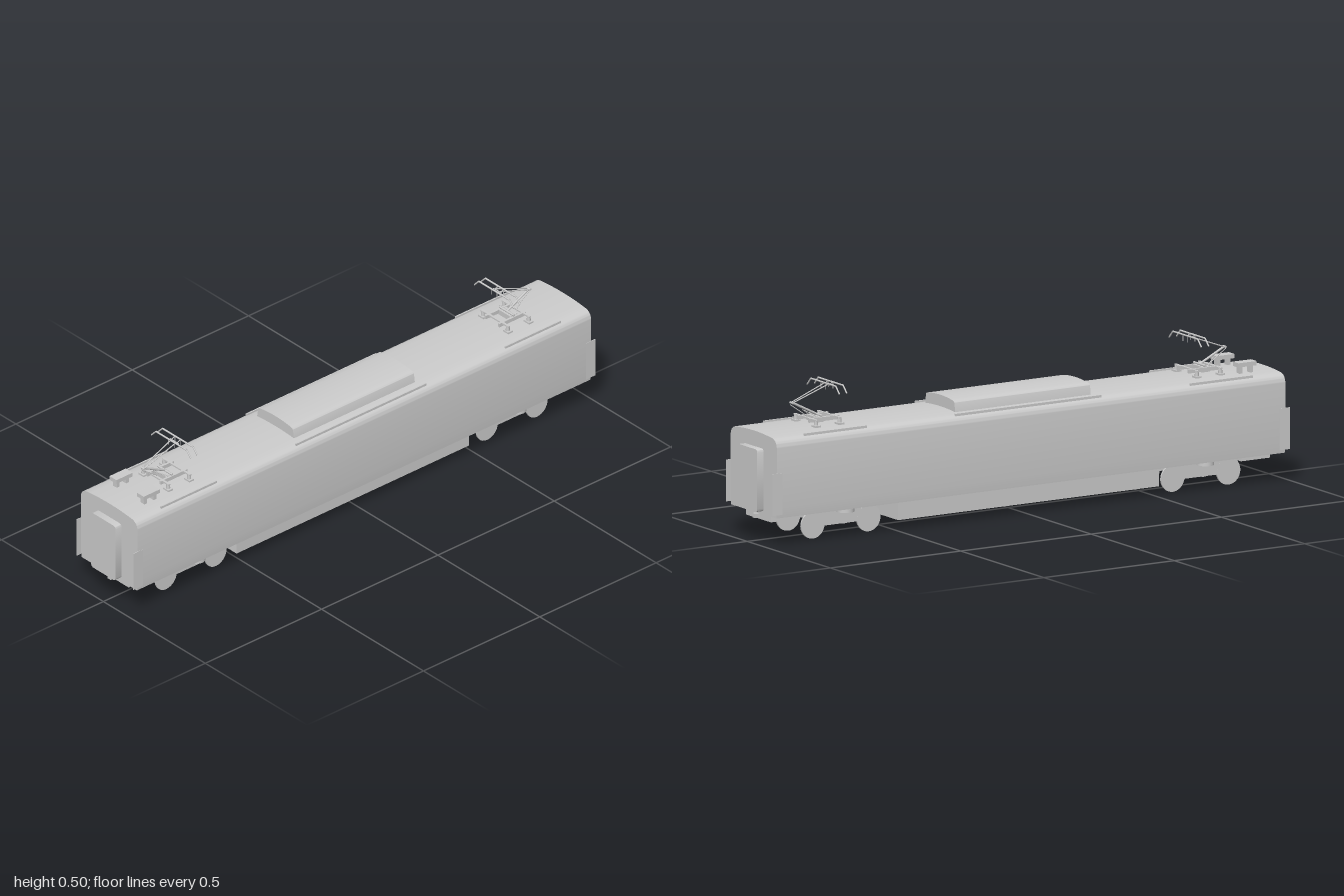
import * as THREE from 'three';
import { toCreasedNormals } from 'three/addons/utils/BufferGeometryUtils.js';

const material = new THREE.MeshStandardMaterial({ color: 0xcccccc, side: THREE.DoubleSide });

function add(parent, name, geometry, x = 0, y = 0, z = 0) {
  const mesh = new THREE.Mesh(geometry, material);
  mesh.name = name;
  mesh.position.set(x, y, z);
  parent.add(mesh);
  return mesh;
}

// Box given by its limits on each axis
function box(parent, name, x0, x1, y0, y1, z0, z1) {
  const g = new THREE.BoxGeometry(x1 - x0, y1 - y0, z1 - z0);
  return add(parent, name, g, (x0 + x1) / 2, (y0 + y1) / 2, (z0 + z1) / 2);
}

// Straight round bar between two points
function bar(parent, name, a, b, r = 0.002) {
  const p = new THREE.Vector3(...a), q = new THREE.Vector3(...b);
  const d = q.clone().sub(p);
  const m = add(parent, name, new THREE.CylinderGeometry(r, r, d.length(), 8));
  m.position.copy(p).add(q).multiplyScalar(0.5);
  m.quaternion.setFromUnitVectors(new THREE.Vector3(0, 1, 0), d.normalize());
  return m;
}

// Cross-section in x and y, pulled along z and centred
function extrude(shape, length) {
  const g = new THREE.ExtrudeGeometry(shape, { depth: length, bevelEnabled: false, curveSegments: 10 });
  g.translate(0, 0, -length / 2);
  return toCreasedNormals(g, 0.5);
}

function roundedRect(x0, x1, y0, y1, r) {
  const s = new THREE.Shape();
  s.absarc(x1 - r, y0 + r, r, -Math.PI / 2, 0);
  s.absarc(x1 - r, y1 - r, r, 0, Math.PI / 2);
  s.absarc(x0 + r, y1 - r, r, Math.PI / 2, Math.PI);
  s.absarc(x0 + r, y0 + r, r, Math.PI, Math.PI * 1.5);
  return s;
}

// Coach shell with gently arched roof
function createBody(root) {
  const s = new THREE.Shape();
  s.moveTo(-0.136, 0.096);
  s.lineTo(0.136, 0.096);
  s.lineTo(0.139, 0.13);
  s.lineTo(0.139, 0.328);
  s.quadraticCurveTo(0.137, 0.35, 0.116, 0.357);
  s.quadraticCurveTo(0, 0.371, -0.116, 0.357);
  s.quadraticCurveTo(-0.137, 0.35, -0.139, 0.328);
  s.lineTo(-0.139, 0.13);
  add(root, 'body', extrude(s, 1.95));

  // Arched roof housing
  const h = new THREE.Shape();
  h.moveTo(-0.091, 0.355);
  h.lineTo(0.091, 0.355);
  h.lineTo(0.086, 0.387);
  h.quadraticCurveTo(0.085, 0.394, 0.076, 0.396);
  h.quadraticCurveTo(0, 0.408, -0.076, 0.396);
  h.quadraticCurveTo(-0.085, 0.394, -0.086, 0.387);
  add(root, 'roofHousing', extrude(h, 0.52));

  for (const s of [-1, 1]) {
    // Gutter strips along the roof edges
    for (const [z, length] of [[0, 0.56], [0.74, 0.24], [-0.74, 0.24]]) {
      add(root, 'roofStrip', new THREE.BoxGeometry(0.005, 0.008, length), s * 0.121, 0.358, z);
    }
    // Equipment boxes on short legs, front end only
    const x = s * 0.067;
    add(root, 'roofEquipment', new THREE.BoxGeometry(0.034, 0.014, 0.07), x, 0.391, 0.865);
    for (const z of [0.845, 0.885]) {
      add(root, 'equipmentLeg', new THREE.BoxGeometry(0.018, 0.026, 0.012), x, 0.373, z);
    }
  }
}

// Gangway, corner plates and coupler at one end
function createEnd() {
  const end = new THREE.Group();
  end.name = 'end';
  add(end, 'gangway', extrude(roundedRect(-0.06, 0.06, 0.106, 0.313, 0.01), 0.026), 0, 0, 0.987);
  for (const s of [-1, 1]) {
    add(end, 'cornerPlate', new THREE.BoxGeometry(0.002, 0.138, 0.04), s * 0.139, 0.176, 0.973);
  }
  box(end, 'couplerHousing', -0.075, 0.075, 0.071, 0.098, 0.845, 0.957);
  box(end, 'coupler', -0.008, 0.008, 0.075, 0.09, 0.95, 0.975);
  return end;
}

// Flat side frames joined to discs for the wheels
function createBogie() {
  const bogie = new THREE.Group();
  bogie.name = 'bogie';
  for (const s of [-1, 1]) {
    const x = s * 0.074;
    add(bogie, 'sideFrame', new THREE.BoxGeometry(0.005, 0.06, 0.225), x, 0.068, 0.69);
    for (const z of [0.583, 0.797]) {
      const wheel = add(bogie, 'wheel', new THREE.CylinderGeometry(0.045, 0.045, 0.006, 28), x, 0.045, z);
      wheel.rotation.z = Math.PI / 2;
    }
    add(bogie, 'suspensionPad', new THREE.CylinderGeometry(0.029, 0.029, 0.014, 24), s * 0.104, 0.09, 0.69);
  }
  return bogie;
}

// Open-bottomed skirt between the bogies
function createSkirt(root) {
  for (const s of [-1, 1]) {
    add(root, 'skirtSide', new THREE.BoxGeometry(0.003, 0.067, 1), s * 0.0985, 0.0635, 0.015);
    add(root, 'skirtEnd', new THREE.BoxGeometry(0.2, 0.067, 0.003), 0, 0.0635, 0.015 + s * 0.4985);
  }
}

// Single-arm current collector with knee toward the coach end
function createPantograph() {
  const p = new THREE.Group();
  p.name = 'pantograph';
  for (const z of [0.685, 0.775]) {
    for (const s of [-1, 1]) {
      add(p, 'insulatorFoot', new THREE.BoxGeometry(0.026, 0.006, 0.02), s * 0.061, 0.366, z);
      add(p, 'insulator', new THREE.CylinderGeometry(0.006, 0.007, 0.018, 10), s * 0.061, 0.377, z);
    }
    box(p, 'baseCrossBeam', -0.068, 0.068, 0.382, 0.387, z - 0.004, z + 0.004);
  }
  for (const s of [-1, 1]) {
    box(p, 'baseRail', s * 0.033 - 0.004, s * 0.033 + 0.004, 0.374, 0.387, 0.67, 0.785);
    bar(p, 'upperArm', [s * 0.005, 0.438, 0.83], [s * 0.012, 0.488, 0.695]);
    bar(p, 'armBrace', [s * 0.03, 0.387, 0.745], [s * 0.004, 0.41, 0.785], 0.0015);
  }
  box(p, 'baseBlock', -0.03, 0.03, 0.37, 0.388, 0.725, 0.755);
  bar(p, 'armPivot', [-0.035, 0.392, 0.735], [0.035, 0.392, 0.735], 0.004);
  bar(p, 'lowerArm', [0, 0.392, 0.735], [0, 0.44, 0.83], 0.004);
  bar(p, 'controlRod', [0, 0.388, 0.77], [0, 0.433, 0.835], 0.0015);
  bar(p, 'knee', [-0.008, 0.439, 0.83], [0.008, 0.439, 0.83], 0.004);
  bar(p, 'headPivot', [-0.02, 0.486, 0.695], [0.02, 0.486, 0.695]);

  // Two contact strips with drooping horns
  for (const z of [0.68, 0.708]) {
    bar(p, 'contactStrip', [-0.075, 0.493, z], [0.075, 0.493, z], 0.003);
    for (const s of [-1, 1]) {
      bar(p, 'horn', [s * 0.075, 0.493, z], [s * 0.097, 0.47, z], 0.0025);
      bar(p, 'headLink', [s * 0.014, 0.486, 0.695], [s * 0.014, 0.493, z], 0.0015);
      bar(p, 'headHanger', [s * 0.014, 0.492, z], [s * 0.014, 0.472, z], 0.0012);
    }
  }
  return p;
}

export function createModel() {
  const root = new THREE.Group();
  root.name = 'railcar';
  createBody(root);
  createSkirt(root);
  // Both ends share the same running gear and collector
  for (const turn of [0, Math.PI]) {
    for (const make of [createEnd, createBogie, createPantograph]) {
      const part = make();
      part.rotation.y = turn;
      root.add(part);
    }
  }
  return root;
}
